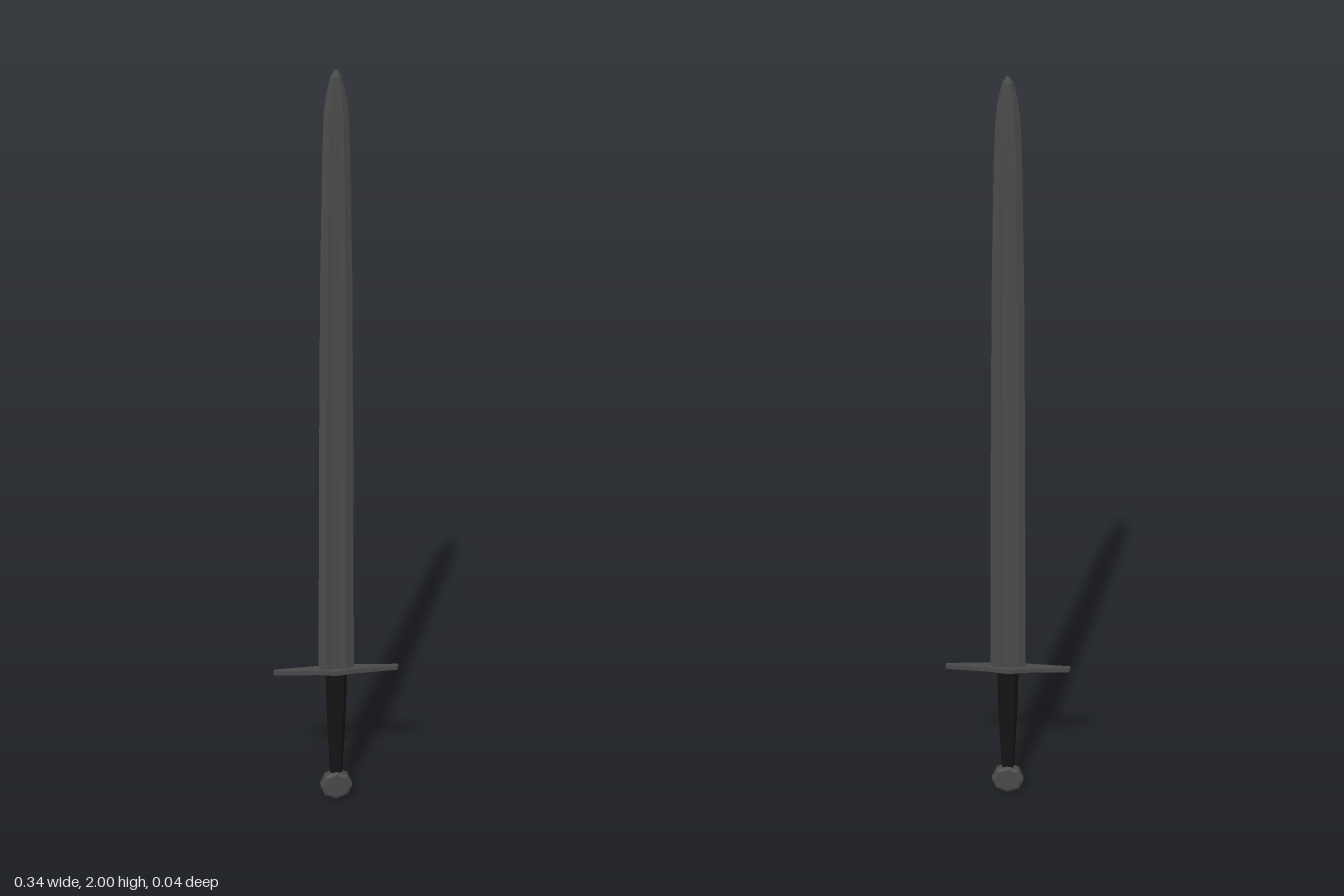
import * as THREE from 'three';

const steel = new THREE.MeshStandardMaterial({ color: 0x4a4a4a, flatShading: true });
const leather = new THREE.MeshStandardMaterial({ color: 0x141414, flatShading: true });

// Skin a stack of rings; each ring is { y, pts: [[x, z], ...] } running from +x towards +z.
function loft(rings) {
  const pos = [];
  const tri = (...corners) => corners.forEach((c) => pos.push(...c));
  const at = (i, j) => {
    const { y, pts } = rings[i];
    const [x, z] = pts[j % pts.length];
    return [x, y, z];
  };
  const n = rings[0].pts.length;
  const last = rings.length - 1;
  for (let j = 0; j < n; j++) {
    for (let i = 0; i < last; i++) {
      tri(at(i, j), at(i + 1, j), at(i, j + 1));
      tri(at(i, j + 1), at(i + 1, j), at(i + 1, j + 1));
    }
    tri([0, rings[0].y, 0], at(0, j), at(0, j + 1));
    tri([0, rings[last].y, 0], at(last, j + 1), at(last, j));
  }
  const geometry = new THREE.BufferGeometry();
  geometry.setAttribute('position', new THREE.Float32BufferAttribute(pos, 3));
  geometry.computeVertexNormals();
  return geometry;
}

// Complete a closed outline from its +x, +z quarter (first point on the x axis, last on the z axis).
function mirrorQuarter(quarter) {
  const half = [...quarter, ...quarter.slice(0, -1).reverse().map(([x, z]) => [-x, z])];
  return [...half, ...half.slice(1, -1).reverse().map(([x, z]) => [x, -z])];
}

function polygon(sides, rx, rz) {
  return Array.from({ length: sides }, (_, i) => {
    const a = (i / sides) * Math.PI * 2;
    return [Math.cos(a) * rx, Math.sin(a) * rz];
  });
}

export function createModel() {
  const group = new THREE.Group();
  const add = (name, geometry, material) => {
    const mesh = new THREE.Mesh(geometry, material);
    mesh.name = name;
    group.add(mesh);
    return mesh;
  };

  // Blade: [height, half width, half thickness, half thickness inside the fuller]
  const blade = [
    [0.42, 0.048, 0.009, 0.006],
    [1.0, 0.044, 0.008, 0.005],
    [1.5, 0.039, 0.0075, 0.005],
    [1.8, 0.033, 0.007, 0.006],
    [1.9, 0.029, 0.0065, 0.0065],
    [1.95, 0.022, 0.006, 0.006],
    [1.985, 0.013, 0.005, 0.005],
    [2.0, 0.004, 0.003, 0.003],
  ];
  add('blade', loft(blade.map(([y, w, t, f]) => ({
    y, pts: mirrorQuarter([[w, 0], [w * 0.55, t], [w * 0.3, f], [0, f]]),
  }))), steel);

  // Crossguard: thin bar, widest in the middle
  const guard = mirrorQuarter([[0.17, 0], [0.167, 0.005], [0.05, 0.013], [0, 0.022]]);
  add('crossguard', loft([0.411, 0.424].map((y) => ({ y, pts: guard }))), steel);

  // Grip: oval, tapering towards the pommel
  const grip = [[0.085, 0.017, 0.009], [0.2, 0.023, 0.0115], [0.3, 0.027, 0.013], [0.412, 0.029, 0.0145]];
  add('grip', loft(grip.map(([y, rx, rz]) => ({ y, pts: polygon(8, rx, rz) }))), leather);

  // Pommel: eight-sided disc with chamfered faces
  const disc = [[-0.013, 0.036], [-0.009, 0.045], [0.009, 0.045], [0.013, 0.036]];
  const pommel = add('pommel', loft(disc.map(([y, r]) => ({ y, pts: polygon(8, r, r) }))), steel);
  pommel.rotation.x = Math.PI / 2;
  pommel.position.y = 0.045;

  return group;
}
